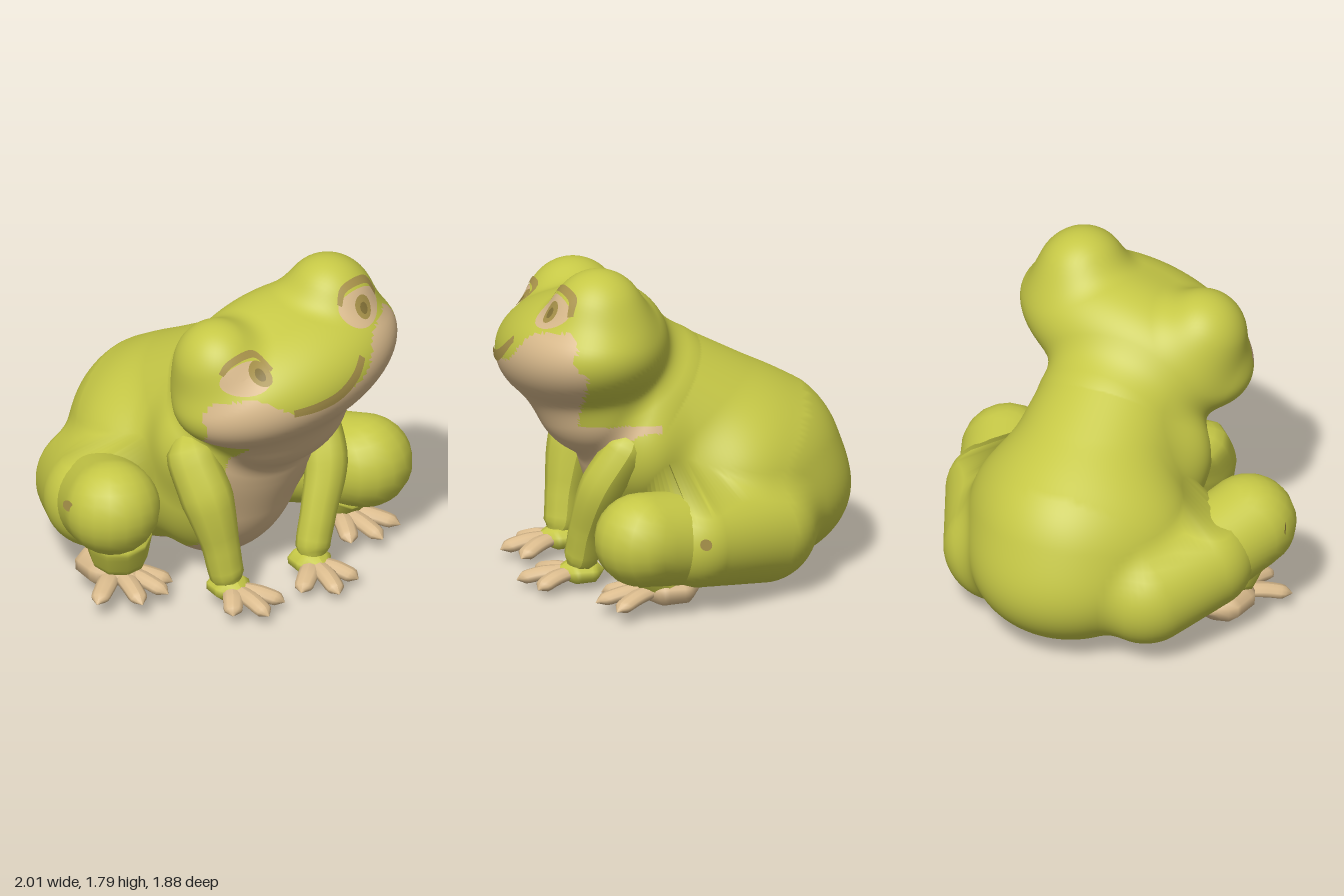
import * as THREE from 'three';

const paint = (name, color) => Object.assign(new THREE.MeshStandardMaterial({ color }), { name });
const V = (x, y, z) => new THREE.Vector3(x, y, z);

// ---- soft solids: distance rules blended together ----
const ellipsoid = (c, r) => (x, y, z) => {
  const a = (x - c[0]) / r[0], b = (y - c[1]) / r[1], d = (z - c[2]) / r[2];
  const k0 = Math.hypot(a, b, d), k1 = Math.hypot(a / r[0], b / r[1], d / r[2]);
  return k1 < 1e-6 ? -Math.min(...r) : k0 * (k0 - 1) / k1;
};
const capsule = (a, b, ra, rb) => (x, y, z) => {
  const d = b.map((v, i) => v - a[i]), p = [x - a[0], y - a[1], z - a[2]];
  const dot = (u, v) => u[0] * v[0] + u[1] * v[1] + u[2] * v[2];
  const h = THREE.MathUtils.clamp(dot(p, d) / dot(d, d), 0, 1);
  return Math.hypot(...p.map((v, i) => v - d[i] * h)) - ra - (rb - ra) * h;
};
const blend = (k, ...parts) => (x, y, z) => parts.map(f => f(x, y, z)).reduce((a, b) => {
  const h = Math.max(k - Math.abs(a - b), 0) / k;
  return Math.min(a, b) - h * h * k / 4;
});

// Finds the surface along a ray, coming from outside
function hit(sdf, o, d, far) {
  const at = t => sdf(o.x + d.x * t, o.y + d.y * t, o.z + d.z * t);
  let t = far;
  while (t > 0 && at(t) > 0) t -= 0.02;
  let lo = t, hi = t + 0.02;
  for (let i = 0; i < 9; i++) {
    const m = (lo + hi) / 2;
    if (at(m) > 0) hi = m; else lo = m;
  }
  return lo;
}

// A sphere whose vertices are pushed out onto the soft solid
function skin(name, sdf, centre, w, h, materials, rule) {
  const geo = new THREE.SphereGeometry(1, w, h);
  const pos = geo.attributes.position, nor = geo.attributes.normal, e = 0.004;
  for (let i = 0; i < pos.count; i++) {
    const d = V().fromBufferAttribute(pos, i).normalize();
    const p = d.clone().multiplyScalar(hit(sdf, centre, d, 1.7)).add(centre);
    const { x, y, z } = p;
    const n = V(sdf(x + e, y, z) - sdf(x - e, y, z), sdf(x, y + e, z) - sdf(x, y - e, z),
      sdf(x, y, z + e) - sdf(x, y, z - e)).normalize();
    pos.setXYZ(i, x, y, z);
    nor.setXYZ(i, n.x, n.y, n.z);
  }
  if (rule) {
    const lists = [[], []], idx = geo.index.array;
    for (let i = 0; i < idx.length; i += 3) {
      const tri = [idx[i], idx[i + 1], idx[i + 2]], c = V();
      tri.forEach(j => c.add(V().fromBufferAttribute(pos, j)));
      c.divideScalar(3);
      lists[rule(c) ? 1 : 0].push(...tri);
    }
    geo.setIndex(lists.flat());
    geo.clearGroups();
    geo.addGroup(0, lists[0].length, 0);
    geo.addGroup(lists[0].length, lists[1].length, 1);
  }
  const mesh = new THREE.Mesh(geo, materials);
  mesh.name = name;
  return mesh;
}

// Tapered tube through [x, y, z, radius] points, optionally flattened in y
function limb(name, pts, material, flat = 1) {
  const curve = new THREE.CatmullRomCurve3(pts.map(p => V(p[0], p[1], p[2])));
  const n = (pts.length - 1) * 5, sides = 10;
  const geo = new THREE.TubeGeometry(curve, n, 1, sides), pos = geo.attributes.position;
  for (let i = 0; i < pos.count; i++) {
    const u = Math.floor(i / (sides + 1)) / n;
    const c = curve.getPointAt(u), s = curve.getUtoTmapping(u) * (pts.length - 1);
    const k = Math.min(Math.floor(s), pts.length - 2);
    const r = THREE.MathUtils.lerp(pts[k][3], pts[k + 1][3], s - k);
    const p = V().fromBufferAttribute(pos, i).sub(c).multiplyScalar(r);
    pos.setXYZ(i, c.x + p.x, Math.max(0.005, c.y + p.y * flat), c.z + p.z);
  }
  geo.computeVertexNormals();
  const mesh = new THREE.Mesh(geo, material);
  mesh.name = name;
  return mesh;
}

// Thin painted sheet laid over the front of a solid; at(s, t) gives [x, y]
function decal(name, sdf, at, n, m, lift, material) {
  const pos = [], idx = [];
  for (let i = 0; i <= n; i++) for (let j = 0; j <= m; j++) {
    const [x, y] = at(i / n, j / m);
    pos.push(x, y, hit(sdf, V(x, y, 0), V(0, 0, 1), 1.2) + lift);
    if (i < n && j < m) {
      const a = i * (m + 1) + j, b = a + m + 1;
      idx.push(a, b, a + 1, b, b + 1, a + 1);
    }
  }
  const geo = new THREE.BufferGeometry();
  geo.setAttribute('position', new THREE.Float32BufferAttribute(pos, 3));
  geo.setIndex(idx);
  geo.computeVertexNormals();
  const mesh = new THREE.Mesh(geo, material);
  mesh.name = name;
  return mesh;
}
const oval = (x, y, rx, ry, tilt) => (s, t) => {
  const a = t * Math.PI * 2, u = s * rx * Math.cos(a), v = s * ry * Math.sin(a);
  return [x + u * Math.cos(tilt) - v * Math.sin(tilt), y + u * Math.sin(tilt) + v * Math.cos(tilt)];
};
function stroke(points, width) {
  const curve = new THREE.CatmullRomCurve3(points.map(p => V(p[0], p[1], 0)));
  return (s, t) => {
    const p = curve.getPoint(s), d = curve.getTangent(s);
    const w = (t - 0.5) * width * (0.7 + 0.3 * Math.sin(s * Math.PI));
    return [p.x - d.y * w, p.y + d.x * w];
  };
}

export function createModel() {
  const green = paint('skinGreen', 0xc6c846);
  const tan = paint('bellyTan', 0xdabb8d);
  const brown = paint('markingBrown', 0xa8924a);
  const dark = paint('pupilBrown', 0x857338);
  const frog = new THREE.Group();
  frog.name = 'frog';

  // Head, rolled to one side
  const roll = 0.227, co = Math.cos(roll), si = Math.sin(roll);
  const local = (x, y) => [(x - 0.09) * co + (y - 1.3) * si, -(x - 0.09) * si + (y - 1.3) * co];
  const headShape = blend(0.08,
    ellipsoid([0, -0.04, 0.5], [0.66, 0.32, 0.44]),
    ellipsoid([0, 0.03, 0.37], [0.55, 0.27, 0.29]),
    ellipsoid([0.36, 0.15, 0.47], [0.24, 0.26, 0.25]),
    ellipsoid([-0.36, 0.14, 0.47], [0.24, 0.26, 0.25]));
  const head = (x, y, z) => headShape(...local(x, y), z);

  // Sloping back, rump, chest, throat and hips
  const torso = blend(0.07,
    capsule([0.05, 0.95, 0.14], [0, 0.54, -0.36], 0.41, 0.53),
    ellipsoid([0, 0.56, -0.28], [0.61, 0.5, 0.5]),
    ellipsoid([0, 0.42, -0.4], [0.52, 0.4, 0.53]),
    ellipsoid([0, 0.6, 0.05], [0.46, 0.55, 0.4]),
    ellipsoid([0.03, 0.78, 0.2], [0.51, 0.42, 0.32]),
    ellipsoid([0.08, 1.02, 0.43], [0.42, 0.33, 0.32]),
    capsule([0.42, 0.34, -0.38], [0.66, 0.38, 0], 0.3, 0.26),
    capsule([-0.46, 0.37, -0.43], [-0.64, 0.45, -0.15], 0.29, 0.27));
  const whole = blend(0.1, torso, head);

  // Pale jaw, throat and belly
  const pale = ({ x, y, z }) => {
    const [u, v] = local(x, y);
    const lip = -0.06 + 0.16 * THREE.MathUtils.smoothstep(Math.abs(u), 0.18, 0.42);
    if (y > 0.95) return z > 0.58 + 0.35 * Math.max(0, v + 0.1) && v < lip && Math.abs(u) < 0.62;
    return x > -0.25 && x < 0.3 + 0.6 * Math.max(0, y - 0.55) && z > -0.45 && (z > 0.15 || y < 0.2);
  };
  frog.add(skin('bodyAndHead', whole, V(0.05, 0.98, 0.15), 180, 130, [green, tan], pale));

  // Smile and eyes
  frog.add(decal('smile', whole, stroke([[-0.14, 1.22], [0, 1.23], [0.13, 1.26], [0.24, 1.33], [0.31, 1.41]], 0.058),
    24, 3, 0.009, brown));
  const eyes = [
    { side: 'left', at: [0.43, 1.59], r: [0.135, 0.085], iris: [0.44, 1.59], tilt: 0.05,
      lid: [[0.31, 1.62], [0.35, 1.685], [0.44, 1.705], [0.53, 1.68], [0.57, 1.6]] },
    { side: 'right', at: [-0.32, 1.4], r: [0.125, 0.075], iris: [-0.245, 1.42], tilt: 0.25,
      lid: [[-0.43, 1.43], [-0.39, 1.475], [-0.3, 1.505], [-0.22, 1.495], [-0.18, 1.43]] }];
  for (const e of eyes) {
    frog.add(decal(e.side + 'EyeWhite', whole, oval(...e.at, ...e.r, e.tilt), 6, 28, 0.005, tan));
    frog.add(decal(e.side + 'Eyelid', whole, stroke(e.lid, 0.033), 20, 2, 0.007, brown));
    frog.add(decal(e.side + 'Iris', whole, oval(...e.iris, 0.052, 0.056, 0), 4, 20, 0.008, brown));
    frog.add(decal(e.side + 'Pupil', whole, oval(e.iris[0], e.iris[1] - 0.005, 0.024, 0.028, 0), 3, 16, 0.0095, dark));
  }

  // Palm with splayed, webbed toes; toes given as [dx, dz] from the palm
  const foot = (name, x, y, z, r, toes, topMaterial) => {
    const g = new THREE.Group();
    g.name = name;
    g.add(limb('palm', [[x, y, z - r * 1.5, 0], [x, y, z - r, r * 0.9], [x, y, z, r], [x, y - 0.01, z + r * 1.2, 0]], topMaterial, 0.6));
    for (const [dx, dz] of toes) {
      g.add(limb('toe', [[x, y, z - 0.02, 0.05], [x + dx * 0.5, y - 0.01, z + dz * 0.5, 0.055],
        [x + dx * 0.85, y - 0.035, z + dz * 0.85, 0.05], [x + dx, y - 0.05, z + dz, 0]], tan, 0.65));
    }
    frog.add(g);
  };

  // Front legs
  frog.add(limb('leftArm', [[0.38, 0.96, 0.25, 0], [0.42, 0.82, 0.32, 0.11], [0.4, 0.6, 0.45, 0.115],
    [0.31, 0.35, 0.51, 0.095], [0.25, 0.15, 0.54, 0.09], [0.23, 0.07, 0.6, 0]], green));
  frog.add(limb('rightArm', [[-0.34, 0.96, 0.25, 0], [-0.38, 0.82, 0.33, 0.13], [-0.36, 0.6, 0.45, 0.14],
    [-0.32, 0.35, 0.51, 0.1], [-0.29, 0.15, 0.54, 0.09], [-0.27, 0.07, 0.6, 0]], green));
  foot('leftHand', 0.24, 0.09, 0.57, 0.11, [[-0.2, 0.16], [-0.05, 0.29], [0.13, 0.21]], green);
  foot('rightHand', -0.28, 0.1, 0.57, 0.11, [[-0.13, 0.18], [0.02, 0.29], [0.18, 0.21]], green);

  // Hind legs, each with a small spot on the outer thigh
  const thighs = [
    { side: 'left', sign: 1, mid: V(0.67, 0.38, 0.1), spot: [0.43, 0],
      shape: capsule([0.52, 0.33, -0.18], [0.755, 0.42, 0.31], 0.25, 0.245) },
    { side: 'right', sign: -1, mid: V(-0.66, 0.48, -0.02), spot: [0.6, 0.1],
      shape: capsule([-0.56, 0.4, -0.28], [-0.75, 0.54, 0.15], 0.25, 0.25) }];
  for (const { side, sign, mid, spot: [y, z], shape } of thighs) {
    frog.add(skin(side + 'Thigh', shape, mid, 32, 24, green));
    const reach = hit(blend(0.07, torso, shape), V(0, y, z), V(sign, 0, 0), 1.2);
    const spot = new THREE.Mesh(new THREE.CircleGeometry(0.032, 16), brown);
    spot.name = side + 'Spot';
    spot.position.set(sign * (reach + 0.008), y, z);
    spot.rotation.y = sign * 1.2;
    frog.add(spot);
  }
  frog.add(limb('leftShin', [[0.68, 0.35, 0.3, 0], [0.68, 0.28, 0.25, 0.15], [0.66, 0.14, 0.15, 0.12], [0.66, 0.08, 0.1, 0]], green));
  frog.add(limb('rightShin', [[-0.7, 0.5, 0.15, 0], [-0.69, 0.36, 0.12, 0.18], [-0.66, 0.2, 0.08, 0.15], [-0.65, 0.1, 0.04, 0]], green));
  foot('leftFoot', 0.66, 0.12, 0.2, 0.15, [[-0.12, 0.28], [0.04, 0.34], [0.21, 0.26]], tan);
  foot('rightFoot', -0.67, 0.13, 0.08, 0.17, [[-0.27, 0.2], [-0.08, 0.34], [0.1, 0.32], [0.2, 0.22]], tan);
  return frog;
}
